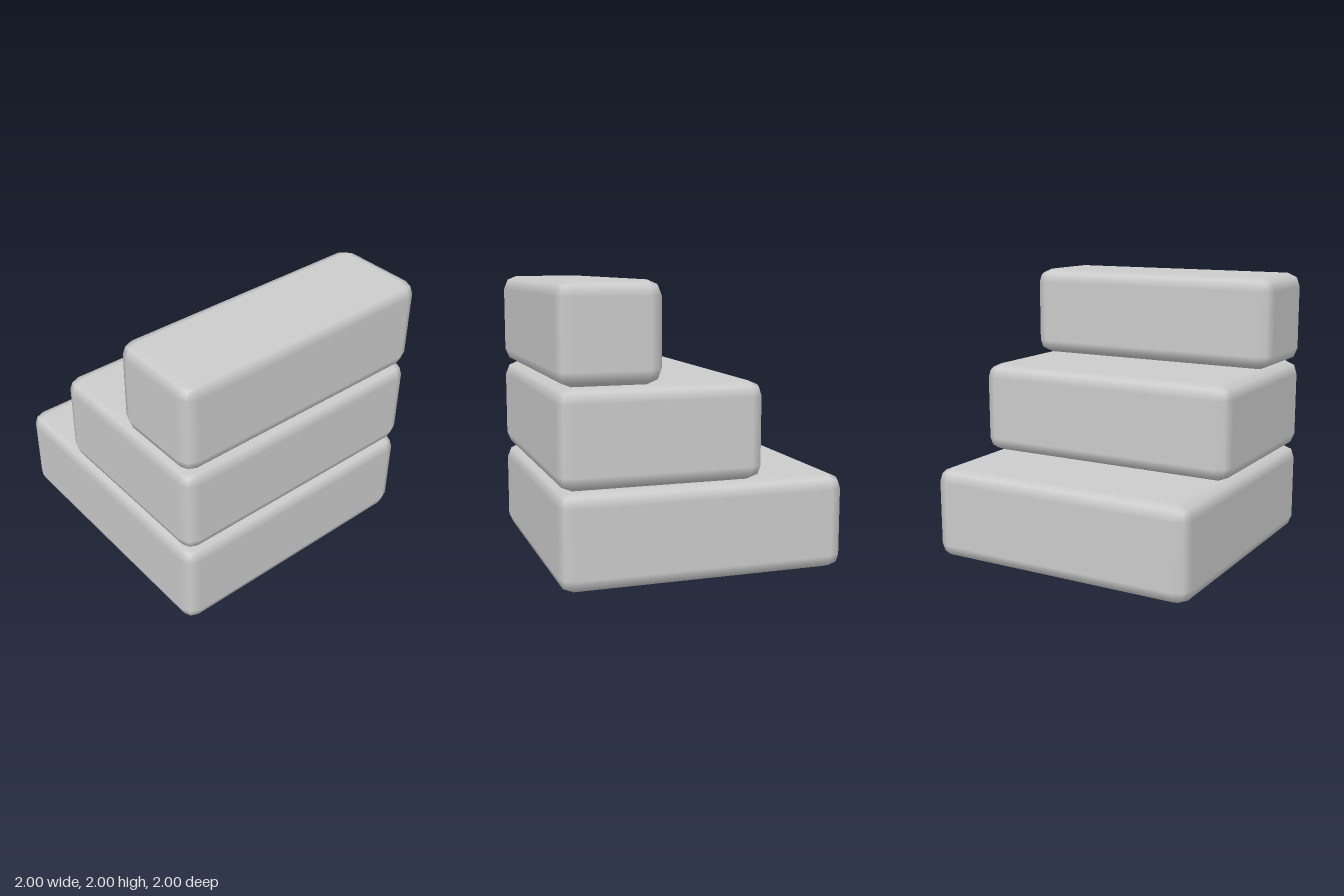
import * as THREE from 'three';
import { RoundedBoxGeometry } from 'three/addons/geometries/RoundedBoxGeometry.js';

export function createModel() {
  const group = new THREE.Group();
  group.name = 'cushionSteps';
  const material = new THREE.MeshStandardMaterial({ color: 0xcccccc });

  // Three stacked soft blocks, flush on the +x side, each one shorter than the one below
  const height = 2 / 3;
  const steps = [
    ['bottomStep', 2.0],
    ['middleStep', 1.4],
    ['topStep', 0.7],
  ];
  steps.forEach(([name, width], i) => {
    const step = new THREE.Mesh(new RoundedBoxGeometry(width, height, 2, 1, 0.1), material);
    step.name = name;
    step.position.set(1 - width / 2, height * (i + 0.5), 0);
    group.add(step);
  });

  return group;
}
